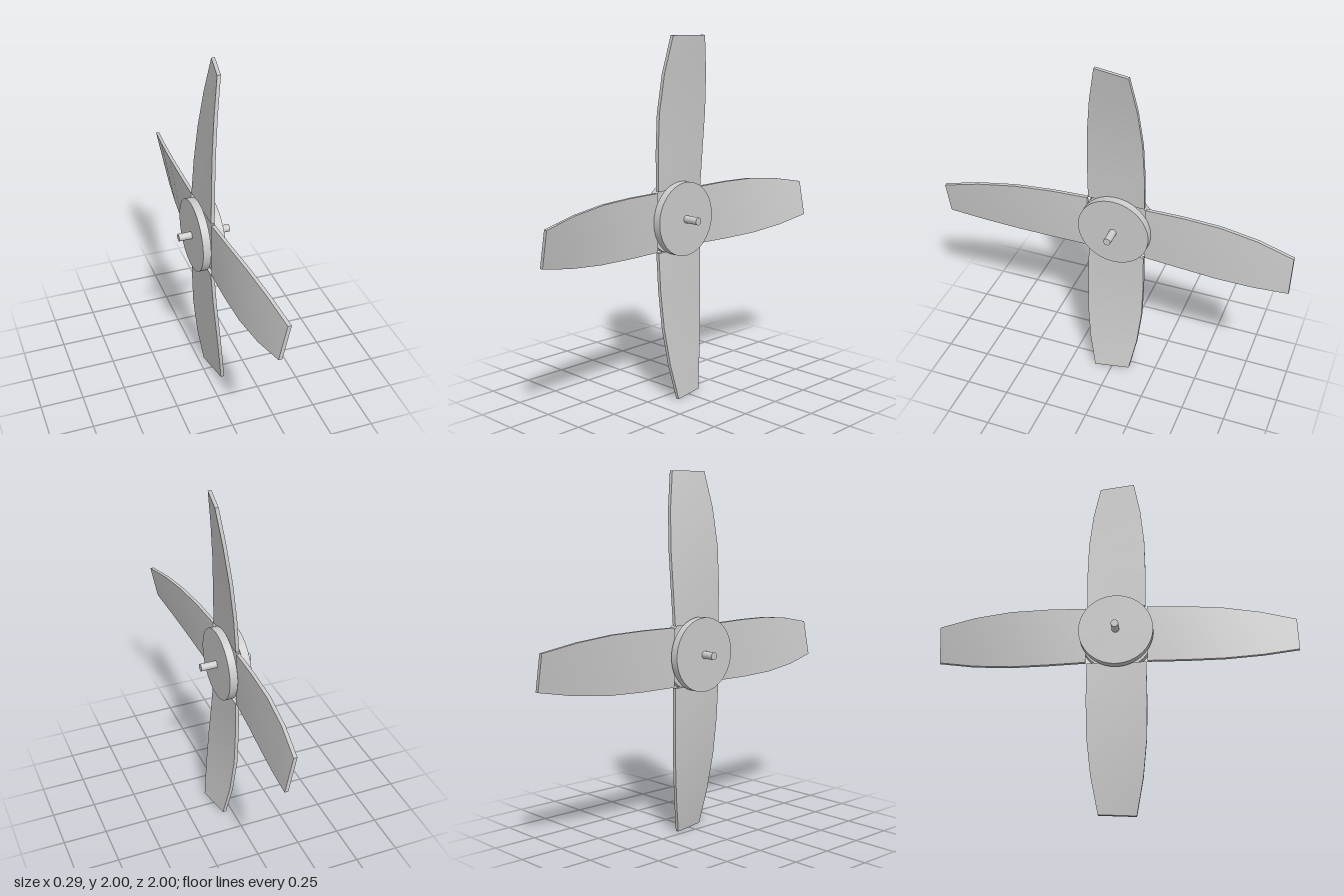
import * as THREE from 'three';

const CENTRE_Y = 1;
const BLADE_THICKNESS = 0.02;

// Blade sections from root to tip:
// radius, half width, x of leading edge, x of trailing edge
const SECTIONS = [
  [0.17, 0.163, -0.005, -0.005],
  [0.38, 0.165, -0.005, 0.01],
  [0.59, 0.16, 0.0, 0.032],
  [0.8, 0.138, 0.017, 0.058],
  [1.0, 0.1, 0.045, 0.085],
];

// A box with its vertices moved onto the twisted, swept sections
function bladeGeometry() {
  const segments = SECTIONS.length - 1;
  const geometry = new THREE.BoxGeometry(1, 1, 1, 1, segments, 1);
  const pos = geometry.attributes.position;
  for (let i = 0; i < pos.count; i++) {
    const section = SECTIONS[Math.round((pos.getY(i) + 0.5) * segments)];
    const [radius, halfWidth, leadX, trailX] = section;
    const leading = pos.getZ(i) > 0;
    pos.setXYZ(
      i,
      (leading ? leadX : trailX) + pos.getX(i) * BLADE_THICKNESS,
      radius,
      leading ? halfWidth : -halfWidth
    );
  }
  geometry.computeVertexNormals();
  return geometry;
}

export function createModel() {
  const model = new THREE.Group();
  model.name = 'propeller';
  const material = new THREE.MeshStandardMaterial({ color: 0xcccccc });

  // Cylinder lying along the x axis
  function axial(name, radius, x0, x1, sides) {
    const geometry = new THREE.CylinderGeometry(radius, radius, x1 - x0, sides);
    geometry.rotateZ(-Math.PI / 2);
    const mesh = new THREE.Mesh(geometry, material);
    mesh.name = name;
    mesh.position.set((x0 + x1) / 2, CENTRE_Y + 0.005, 0);
    model.add(mesh);
  }

  // Shaft and the two hub plates that hold the blades
  axial('shaft', 0.021, -0.147, 0.147, 24);
  axial('rightHubPlate', 0.205, -0.073, -0.028, 64);
  axial('leftHubPlate', 0.205, 0.01, 0.055, 64);

  // Four blades turned about the shaft
  const blade = bladeGeometry();
  for (let i = 0; i < 4; i++) {
    const mesh = new THREE.Mesh(blade, material);
    mesh.name = `blade${i + 1}`;
    mesh.position.y = CENTRE_Y;
    mesh.rotation.x = (i * Math.PI) / 2;
    model.add(mesh);
  }
  return model;
}
